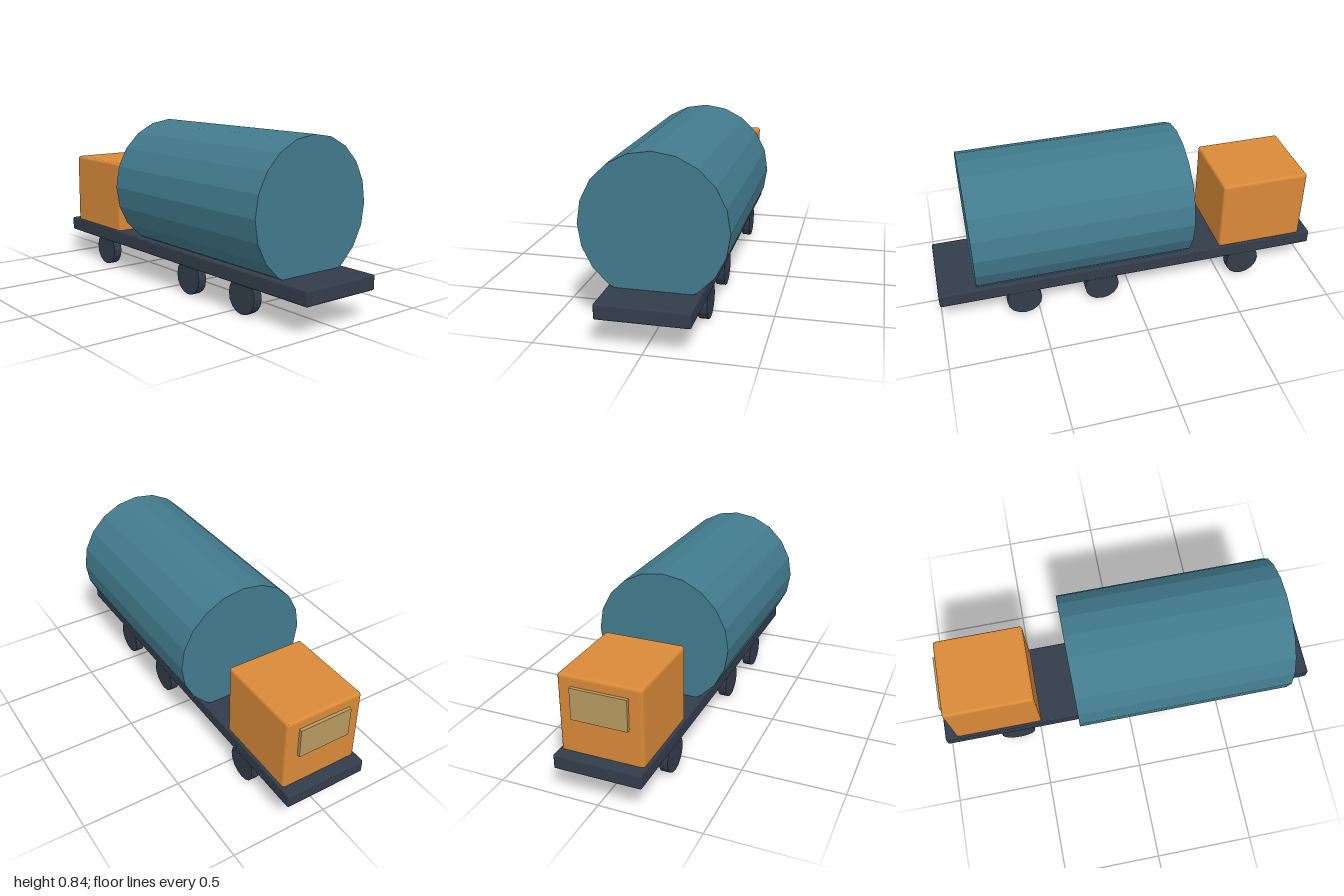
import * as THREE from 'three';
import { RoundedBoxGeometry } from 'three/addons/geometries/RoundedBoxGeometry.js';

const paint = (color) => new THREE.MeshStandardMaterial({ color, flatShading: true });
const DARK = paint(0x333d4b);
const ORANGE = paint(0xd98a38);
const TEAL = paint(0x427b8d);
const GLASS = paint(0xb89a60);

function add(parent, name, geometry, material, x, y, z) {
  const mesh = new THREE.Mesh(geometry, material);
  mesh.name = name;
  mesh.position.set(x, y, z);
  parent.add(mesh);
  return mesh;
}

export function createModel() {
  const truck = new THREE.Group();
  truck.name = 'tankTruck';

  // Flat chassis deck with softened edges
  add(truck, 'chassis', new RoundedBoxGeometry(2, 0.073, 0.43, 2, 0.008), DARK, 0, 0.1765, 0);

  // Cab at the -x end, sunk slightly into the deck, with its windscreen
  add(truck, 'cab', new RoundedBoxGeometry(0.458, 0.394, 0.406, 2, 0.014), ORANGE, -0.712, 0.396, 0);
  add(truck, 'windscreen', new THREE.BoxGeometry(0.03, 0.156, 0.275), GLASS, -0.942, 0.463, 0);

  // Faceted tank lying along x
  const tank = new THREE.CylinderGeometry(0.342, 0.342, 1.096, 20).rotateZ(Math.PI / 2);
  add(truck, 'tank', tank, TEAL, 0.264, 0.501, 0);

  // Three axles with a wheel on each side
  const wheel = new THREE.CylinderGeometry(0.09, 0.09, 0.045, 16).rotateX(Math.PI / 2);
  for (const x of [-0.62, 0.165, 0.575]) {
    for (const side of [-1, 1]) add(truck, 'wheel', wheel, DARK, x, 0.09, side * 0.1875);
  }
  return truck;
}
